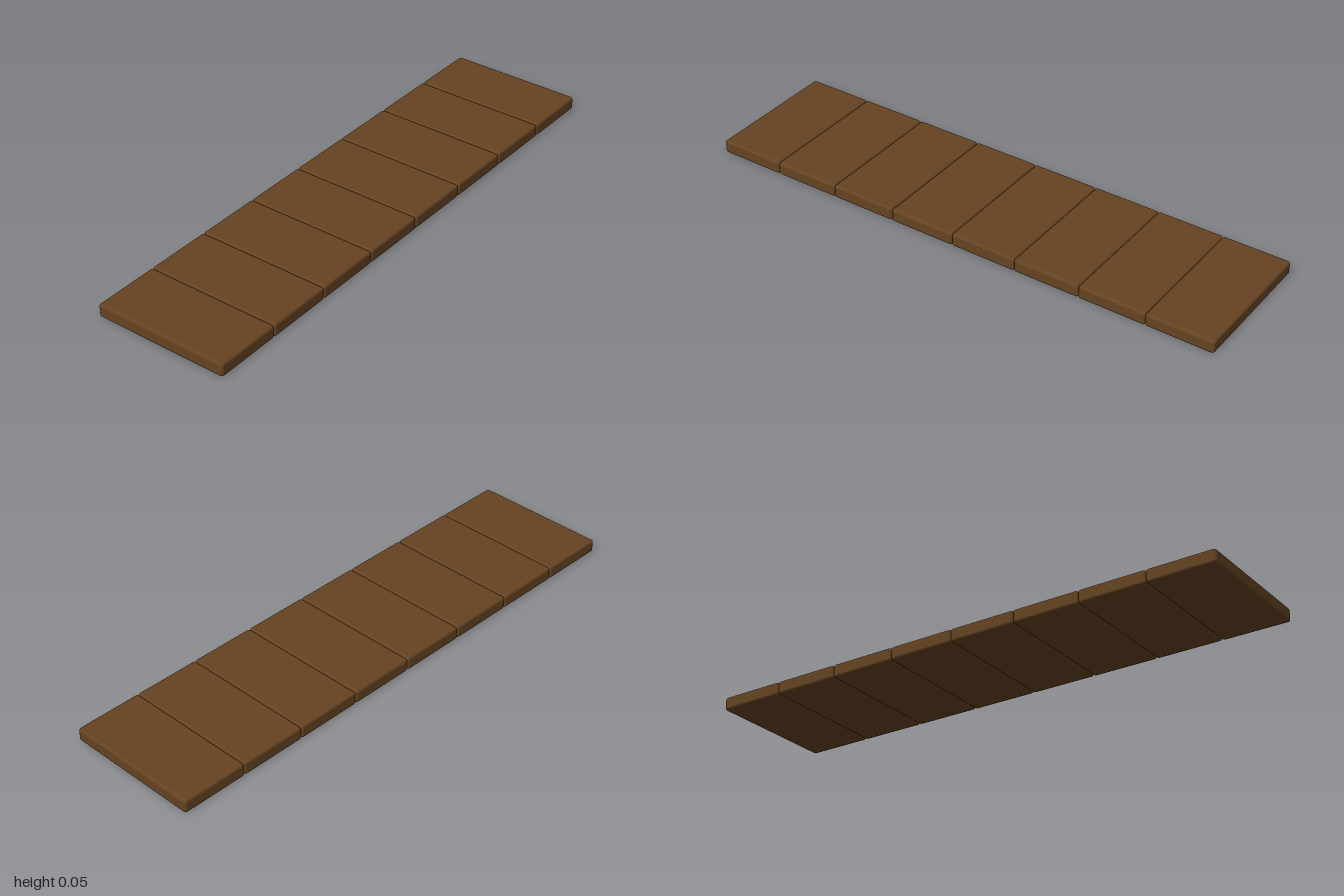
import * as THREE from 'three';
import { RoundedBoxGeometry } from 'three/addons/geometries/RoundedBoxGeometry.js';

const COUNT = 8, WIDTH = 0.51, HEIGHT = 0.05, LENGTH = 2;

export function createModel() {
  const group = new THREE.Group();
  group.name = 'plankWalkway';
  const wood = new THREE.MeshStandardMaterial({ color: 0x654321 });

  // Identical planks with softened edges, laid edge to edge along z
  const depth = LENGTH / COUNT;
  const geometry = new RoundedBoxGeometry(WIDTH, HEIGHT, depth, 3, 0.01);
  for (let i = 0; i < COUNT; i++) {
    const plank = new THREE.Mesh(geometry, wood);
    plank.name = `plank${i + 1}`;
    plank.position.set(0, HEIGHT / 2, -LENGTH / 2 + (i + 0.5) * depth);
    group.add(plank);
  }
  return group;
}
